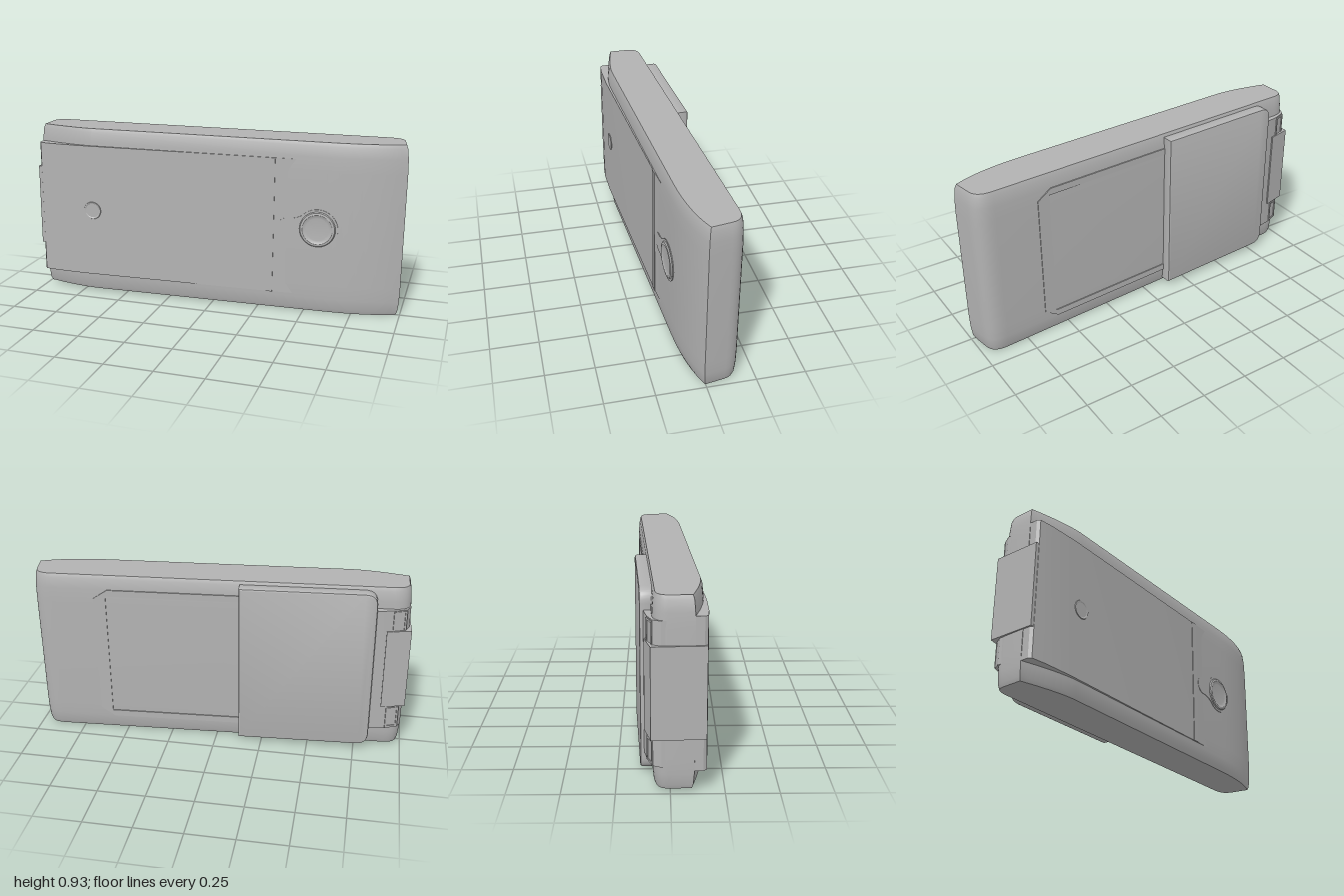
import * as THREE from 'three';
import { toCreasedNormals } from 'three/addons/utils/BufferGeometryUtils.js';

const grey = new THREE.MeshStandardMaterial({ color: 0xb2b2b2 });
grey.name = 'grey casing';

function part(name, geometry, parent, crease = 0.45) {
  const mesh = new THREE.Mesh(toCreasedNormals(geometry, crease), grey);
  mesh.name = name;
  parent.add(mesh);
  return mesh;
}

const polygon = (points) => new THREE.Shape(points.map(([x, y]) => new THREE.Vector2(x, y)));

// Outline in x and z, extruded along the height and centred on it
function slab(outline, height, bevel = 0, inset = 0) {
  const geometry = new THREE.ExtrudeGeometry(outline, {
    depth: height - 2 * bevel, bevelEnabled: bevel > 0, bevelThickness: bevel,
    bevelSize: inset, bevelOffset: -inset, bevelSegments: 3, curveSegments: 8,
  });
  return geometry.translate(0, 0, bevel - height / 2).rotateX(Math.PI / 2);
}

// Outline in x and y, extruded from z0 to z1
function plate(outline, z0, z1) {
  const geometry = new THREE.ExtrudeGeometry(outline, {
    depth: z1 - z0, bevelEnabled: false, curveSegments: 12,
  });
  return geometry.translate(0, 0, z0);
}

// Flat turned ring facing the front
function turned(points, x, y, z) {
  const geometry = new THREE.LatheGeometry(points.map(([r, h]) => new THREE.Vector2(r, h)), 40);
  return geometry.rotateX(Math.PI / 2).translate(x, y, z);
}

export function createModel() {
  const model = new THREE.Group();
  model.name = 'handheldCase';
  const tilted = new THREE.Group();
  tilted.name = 'tiltedCase';
  tilted.position.y = 0.465;
  tilted.rotation.set(0, 0.05, -0.008);
  model.add(tilted);

  // Main body with rounded ends, drawn in slightly at both long sides
  const body = new THREE.Shape();
  body.moveTo(-0.99, 0.06);
  body.lineTo(-0.987, -0.06);
  body.quadraticCurveTo(-0.98, -0.127, -0.9, -0.128);
  body.lineTo(0.88, -0.128);
  body.quadraticCurveTo(0.975, -0.128, 0.984, -0.05);
  body.lineTo(0.997, 0.06);
  body.quadraticCurveTo(0.85, 0.123, 0.6, 0.123);
  body.lineTo(-0.68, 0.123);
  body.quadraticCurveTo(-0.8, 0.118, -0.99, 0.06);
  part('body', slab(body, 0.914, 0.15, 0.015), tilted);

  // Front panel that runs straight to the clip end and slopes into the body
  part('frontPanel', slab(polygon([
    [0.45, 0.11], [0.45, 0.121], [0.32, 0.126], [-0.74, 0.133], [-0.9, 0.126],
    [-0.978, 0.116], [-0.988, 0.1], [-0.988, 0.05], [0.3, 0.05],
  ]), 0.73), tilted);
  part('panelEdgeBar', plate(polygon([
    [0.295, -0.365], [0.33, -0.365], [0.33, 0.365], [0.295, 0.365],
  ]), 0.11, 0.129), tilted);

  // Dial on a pad with a tab toward the panel
  const pad = new THREE.Shape();
  pad.moveTo(0.4, -0.05);
  pad.quadraticCurveTo(0.46, -0.05, 0.49, -0.08);
  pad.absarc(0.56, 0, 0.107, -2.29, 2.29, false);
  pad.quadraticCurveTo(0.46, 0.05, 0.4, 0.05);
  pad.absarc(0.4, 0, 0.05, Math.PI / 2, Math.PI * 1.5, false);
  part('dialPad', plate(pad, 0.115, 0.126), tilted);
  part('dialRing', turned([
    [0.096, 0], [0.09, 0.008], [0.078, 0.01], [0.068, 0.005], [0.06, 0.004], [0, 0.004],
  ], 0.56, 0, 0.124), tilted);

  // Small round button near the other end
  part('roundButton', turned([
    [0.05, -0.004], [0.047, 0.003], [0.042, 0.003], [0.038, 0.001], [0, 0.001],
  ], -0.68, 0.005, 0.133), tilted);

  // Border around the sunken window on the back
  const border = polygon([
    [-0.15, -0.38], [0.58, -0.38], [0.655, -0.33], [0.655, 0.33], [0.58, 0.38], [-0.15, 0.38],
  ]);
  border.holes.push(polygon([[-0.14, -0.345], [-0.14, 0.345], [0.59, 0.345], [0.59, -0.345]]));
  part('windowBorder', plate(border, -0.132, -0.122), tilted);

  // Raised back cover, rounded at the hinge end
  const cover = new THREE.Shape();
  cover.moveTo(-0.115, -0.44);
  cover.lineTo(-0.115, 0.44);
  cover.lineTo(-0.75, 0.44);
  cover.quadraticCurveTo(-0.815, 0.44, -0.815, 0.375);
  cover.lineTo(-0.815, -0.375);
  cover.quadraticCurveTo(-0.815, -0.44, -0.75, -0.44);
  const coverGeometry = new THREE.ExtrudeGeometry(cover, {
    depth: 0.05, bevelEnabled: true, bevelThickness: 0.01, bevelSize: 0.01,
    bevelOffset: -0.01, bevelSegments: 2, curveSegments: 8,
  }).translate(0, 0, -0.169);
  part('backCover', coverGeometry, tilted);

  // Sloping hinge between cover and end, with a slot frame on each side of the clip
  part('hinge', slab(polygon([
    [-0.8, -0.1], [-0.8, -0.163], [-0.9, -0.15], [-0.965, -0.128], [-0.985, -0.09], [-0.985, -0.05],
  ]), 0.69), tilted);
  for (const side of [-1, 1]) {
    const frame = polygon([[-0.035, -0.06], [0.035, -0.06], [0.035, 0.06], [-0.035, 0.06]]);
    frame.holes.push(polygon([[-0.025, -0.05], [-0.025, 0.05], [0.025, 0.05], [0.025, -0.05]]));
    const slot = part('hingeSlot', plate(frame, -0.004, 0.004), tilted);
    slot.position.set(-0.932, side * 0.28, -0.139);
    slot.rotation.y = 0.33;
  }

  // Clip wrapping the end from the front panel to the hinge
  part('endClip', slab(polygon([
    [-0.9, 0.08], [-0.9, 0.118], [-0.996, 0.114], [-0.996, -0.138], [-0.87, -0.162], [-0.87, -0.08],
  ]), 0.44), tilted).position.y = 0.012;

  return model;
}
